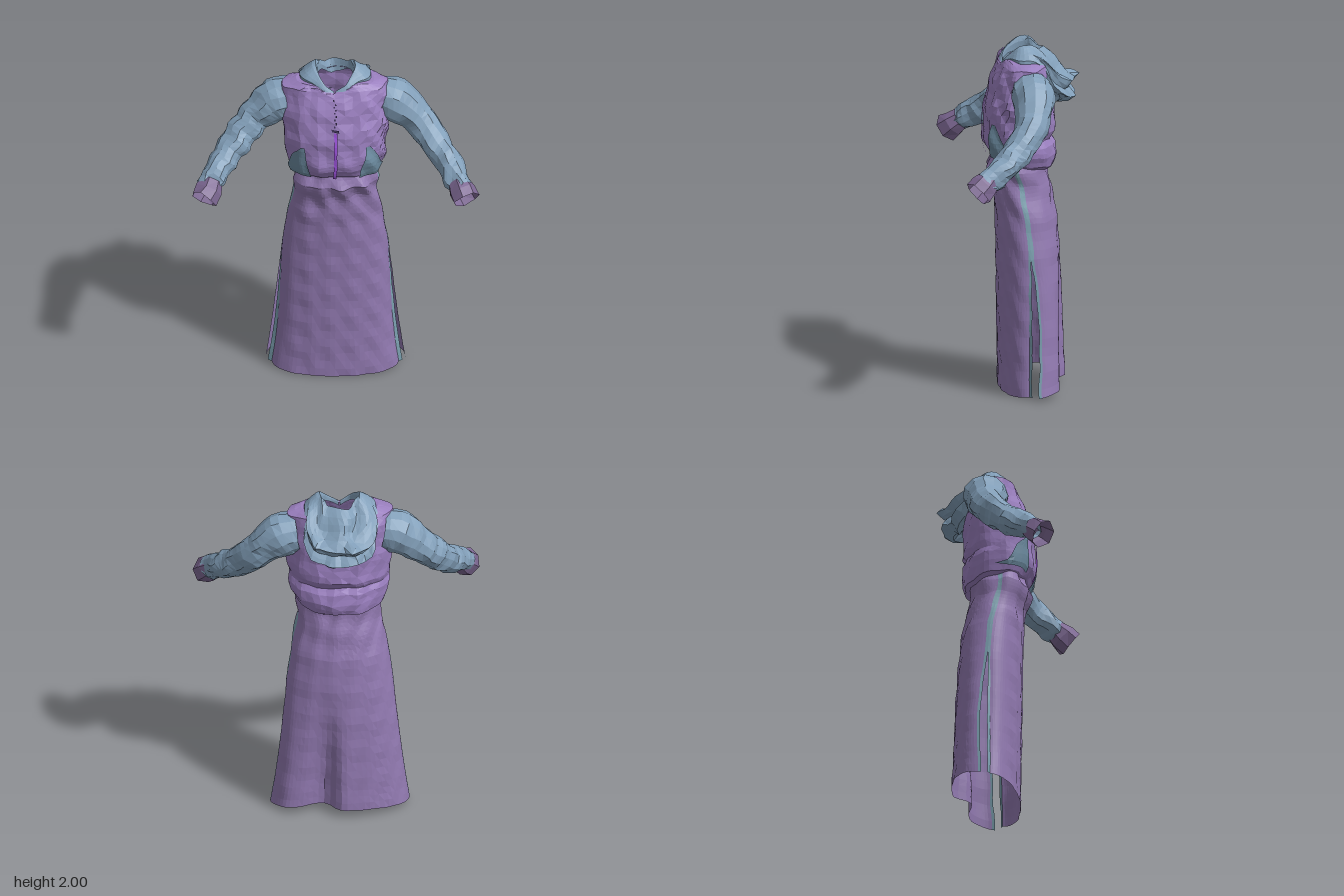
import * as THREE from 'three';

const mat = (name, color) => {
  const m = new THREE.MeshStandardMaterial({ color, flatShading: true, side: THREE.DoubleSide });
  m.name = name;
  return m;
};
const { lerp, smoothstep, clamp } = THREE.MathUtils;

// Cloth wrinkles: a smooth, position-based displacement with diagonal waves
function wrinkle(p, amp) {
  const { x, y, z } = p;
  const a = Math.sin(23 * x + 19 * y + 11 * z), b = Math.sin(29 * x - 17 * y + 13 * z + 1);
  const c = Math.sin(15 * y - 31 * z + 9 * x + 2), d = Math.sin(41 * x + 33 * y - 27 * z);
  p.x += amp * (a * c + 0.4 * d);
  p.y += amp * 0.7 * (b * c - 0.4 * d);
  p.z += amp * (a * b + 0.5 * d);
  return p;
}

// Grid surface from a rule fn(u, v) -> Vector3
function surface(fn, nu, nv) {
  const pos = [], idx = [];
  for (let j = 0; j <= nv; j++)
    for (let i = 0; i <= nu; i++) pos.push(...fn(i / nu, j / nv).toArray());
  for (let j = 0; j < nv; j++)
    for (let i = 0; i < nu; i++) {
      const a = j * (nu + 1) + i, b = a + 1, c = a + nu + 1, d = c + 1;
      if ((i + j) % 2) idx.push(a, b, d, a, d, c);
      else idx.push(a, b, c, b, d, c);
    }
  const g = new THREE.BufferGeometry();
  g.setAttribute('position', new THREE.Float32BufferAttribute(pos, 3));
  g.setIndex(idx);
  g.computeVertexNormals();
  return g;
}

// Interpolate key rows: by index, or by their first entry
function rowAt(rows, s) {
  const i = Math.min(Math.floor(s), rows.length - 2);
  return rows[i].map((v, k) => lerp(v, rows[i + 1][k], s - i));
}
function rowAtY(rows, y) {
  let i = 0;
  while (i < rows.length - 2 && y > rows[i + 1][0]) i++;
  return rowAt(rows, i + clamp((y - rows[i][0]) / (rows[i + 1][0] - rows[i][0]), 0, 1));
}
const power = (v, e) => Math.sign(v) * Math.abs(v) ** e;

// Jacket rows: y, half width, front z, back z, neckline dip
const JACKET = [
  [1.30, 0.21, 0.12, -0.17, 0], [1.32, 0.25, 0.15, -0.205, 0], [1.38, 0.27, 0.178, -0.222, 0],
  [1.43, 0.28, 0.185, -0.217, 0], [1.46, 0.28, 0.185, -0.192, 0], [1.5, 0.285, 0.185, -0.215, 0],
  [1.58, 0.295, 0.182, -0.217, 0], [1.66, 0.3, 0.17, -0.212, 0], [1.75, 0.3, 0.145, -0.2, 0],
  [1.83, 0.305, 0.118, -0.185, 0], [1.88, 0.3, 0.1, -0.165, 0.02], [1.905, 0.22, 0.088, -0.14, 0.04],
  [1.915, 0.115, 0.078, -0.125, 0.06]];
const ROUND = 0.9;
function jacketPoint(u, v) {
  const a = (u - 0.5) * Math.PI * 2;
  const [y, w, f, b, dip] = rowAt(JACKET, v * (JACKET.length - 1));
  const c = Math.cos(a), x = w * power(Math.sin(a), ROUND);
  const hem = 0.03 * c * (1 - smoothstep(y, 1.32, 1.5));
  const notch = c > 0 ? dip * Math.max(0, 1 - Math.abs(x) / 0.1) : 0;
  return wrinkle(new THREE.Vector3(x, y + hem - notch,
    (f + b) / 2 + (f - b) / 2 * power(c, c > 0 ? ROUND : 1.08)), 0.008);
}
// Point lying just over the jacket's front
function jacketFront(x, y, lift = 0.008) {
  const [, w, f, b] = rowAtY(JACKET, y);
  const n = 2 / ROUND, t = (1 - Math.min(Math.abs(x / w), 1) ** n) ** (1 / n);
  const p = wrinkle(new THREE.Vector3(x, y, (f + b) / 2 + (f - b) / 2 * t), 0.008);
  p.z += lift;
  p.x += lift * Math.sign(x) * (Math.abs(x) > 0.1 ? 0.9 : 0);
  return p;
}

// Skirt rows: y, half width, front z, back z, side seam z, half slit
const SKIRT = [
  [0, 0.39, 0.1, -0.28, -0.06, 0.018], [0.2, 0.362, 0.103, -0.272, -0.067, 0.02],
  [0.4, 0.338, 0.107, -0.265, -0.07, 0.019], [0.6, 0.318, 0.11, -0.258, -0.063, 0.013],
  [0.8, 0.3, 0.112, -0.245, -0.05, 0], [1, 0.27, 0.117, -0.225, -0.035, 0],
  [1.12, 0.245, 0.12, -0.2, -0.015, 0], [1.2, 0.235, 0.13, -0.185, 0.005, 0],
  [1.28, 0.235, 0.16, -0.175, 0.015, 0], [1.37, 0.21, 0.13, -0.16, 0.015, 0]];
const TRIM = 0.96;
function skirtPoint(t, v, side) {
  const a = t * Math.PI / 2;
  const [y, w, f, b, seam, slit] = rowAt(SKIRT, v * (SKIRT.length - 1));
  const low = 1 - smoothstep(y, 0, 0.95);
  const c = Math.max(Math.cos(a), 0) ** 0.88;
  let z = lerp(seam + side * slit, side > 0 ? f : b, c);
  // Back pleat: steep on one side, running out gently on the other
  if (side < 0) z += 0.09 * low * Math.exp(-(((t - 0.15) / (t < 0.15 ? 0.09 : 0.25)) ** 2));
  const hem = (1 - smoothstep(y, 0, 0.3)) * (side > 0 ? 0.02 * t * t : 0.015 + 0.035 * c);
  // The front trim turns outward towards the hem
  const half = side > 0 ? w - low * (0.034 - 0.02 * smoothstep(Math.abs(t), TRIM, 1)) : w;
  const p = new THREE.Vector3(half * Math.sin(a), y + hem, z);
  const q = wrinkle(p.clone(), 0.003 + 0.007 * smoothstep(y, 0.9, 1.25));
  if (y === 0) q.y = p.y;
  return q;
}

// Hood profiles (distance from neck centre, y) at the sides and at the back
const HOOD_SIDE = [[0.1, 1.9], [0.098, 1.96], [0.108, 1.992], [0.13, 1.985], [0.15, 1.97],
  [0.17, 1.955], [0.185, 1.94], [0.2, 1.925], [0.2, 1.905], [0.17, 1.89]];
const HOOD_BACK = [[0.09, 1.88], [0.105, 1.95], [0.15, 1.915], [0.185, 1.85], [0.225, 1.815],
  [0.29, 1.775], [0.25, 1.73], [0.28, 1.68], [0.21, 1.655], [0.15, 1.72]];
function hoodPoint(u, v) {
  const a = (u - 0.5) * Math.PI * 1.98 + Math.PI;
  const c = Math.cos(a), back = smoothstep(-c, 0, 0.95), front = smoothstep(c, 0, 1);
  const s = v * (HOOD_SIDE.length - 1);
  const A = rowAt(HOOD_SIDE, s), B = rowAt(HOOD_BACK, s);
  let r = lerp(A[0], B[0], back), y = lerp(A[1], B[1], back) + 0.1 * back * (1 - back);
  // Narrow lapels running down into the neck notch
  y = lerp(y, 1.94 + (y - 1.94) * 0.35, front);
  if (c > 0) y -= 0.09 * Math.max(0, 1 - Math.abs(Math.sin(a)) / 0.95);
  r = lerp(r, 0.122 + (r - 0.1) * 0.22, front);
  // Radial cloth folds, stronger on the hanging part, with one pulled-out tip
  r += 0.014 * back * v * Math.sin(a * 9 + v * 6);
  r += 0.04 * Math.exp(-(((Math.sin(a) + 0.24) / 0.12) ** 2) - ((s - 5) ** 2)) * back;
  return wrinkle(new THREE.Vector3(r * Math.sin(a), y, -0.045 + r * c), 0.005 + 0.01 * back);
}

// Tube along points with a varying radius
function sleeveTube(points, radii, segs, sides, amp) {
  const curve = new THREE.CatmullRomCurve3(points);
  const g = new THREE.TubeGeometry(curve, segs, 1, sides, false);
  const p = g.attributes.position, v = new THREE.Vector3();
  for (let i = 0; i < p.count; i++) {
    const t = Math.floor(i / (sides + 1)) / segs;
    const c = curve.getPointAt(t);
    const [r] = rowAt(radii.map(k => [k]), t * (radii.length - 1));
    v.fromBufferAttribute(p, i).sub(c).multiplyScalar(r).add(c);
    wrinkle(v, amp * (0.4 + t));
    p.setXYZ(i, v.x, v.y, v.z);
  }
  g.computeVertexNormals();
  return g;
}

export function createModel() {
  const group = new THREE.Group();
  const purple = mat('jacket purple', 0x9b80c0);
  const skirtPurple = mat('skirt purple', 0x9179b0);
  const blue = mat('sleeve blue', 0x83a0ba);
  const teal = mat('trim teal', 0x7a9fae);
  const pocketTeal = mat('pocket teal', 0x6c8ba0);
  const cuffPurple = mat('cuff purple', 0x7d6893);
  const violet = mat('zip violet', 0xa85aec);
  const dark = mat('zip dark', 0x43365c);
  const add = (name, geometry, material) => {
    const m = new THREE.Mesh(geometry, material);
    m.name = name;
    group.add(m);
  };

  // Jacket body and hood
  add('jacketBody', surface(jacketPoint, 44, 24), purple);
  add('hood', surface(hoodPoint, 48, 18), blue);

  // Skirt panels with trim along the side slits
  for (const [label, side] of [['front', 1], ['back', -1]]) {
    const strip = (t0, t1) => (u, v) => skirtPoint(side * lerp(t0, t1, u), v, side);
    add(label + 'SkirtPanel', surface(strip(-TRIM, TRIM), 36, 36), skirtPurple);
    add(label + 'SkirtTrim', surface(strip(-1, -TRIM), 1, 36), teal);
    add(label + 'SkirtTrim', surface(strip(TRIM, 1), 1, 36), teal);
  }

  // Sleeves, cuffs and pockets on both sides
  for (const s of [1, -1]) {
    const name = s > 0 ? 'left' : 'right';
    const V = (x, y, z) => new THREE.Vector3(s * x, y, z);
    add(name + 'Sleeve', sleeveTube(
      [V(0.24, 1.765, -0.06), V(0.3, 1.755, -0.06), V(0.38, 1.705, -0.055), V(0.46, 1.63, -0.04),
        V(0.55, 1.53, 0.03), V(0.63, 1.44, 0.125), V(0.68, 1.39, 0.2), V(0.715, 1.35, 0.25)],
      [0.11, 0.128, 0.11, 0.096, 0.092, 0.088, 0.08, 0.077, 0.075, 0.062], 24, 12, 0.01), blue);
    add(name + 'Cuff', sleeveTube(
      [V(0.69, 1.375, 0.225), V(0.712, 1.337, 0.268), V(0.735, 1.305, 0.307)],
      [0.062, 0.076, 0.078], 2, 7, 0.006), cuffPurple);
    add(name + 'Pocket', surface((u, v) => jacketFront(
      s * lerp(lerp(0.125, 0.168, v), lerp(0.262, 0.19, v * v), u), lerp(1.355, 1.555, v)), 8, 8), pocketTeal);
  }

  // Front zip: violet lower half, dark teeth above, and the pull
  add('lowerZip', surface((u, v) => jacketFront(lerp(-0.009, 0.009, u), lerp(1.35, 1.66, v)), 1, 14), violet);
  for (let i = 0; i < 9; i++) {
    const y = 1.69 + i * 0.018, x = i % 2 ? 0.004 : -0.004;
    add('zipTooth', surface((u, v) => jacketFront(x + lerp(-0.004, 0.004, u), y + v * 0.01), 1, 1), dark);
  }
  add('zipPull', surface((u, v) => jacketFront(lerp(-0.02, 0.02, u), lerp(1.665, 1.68, v), 0.009), 2, 1), dark);

  return group;
}
